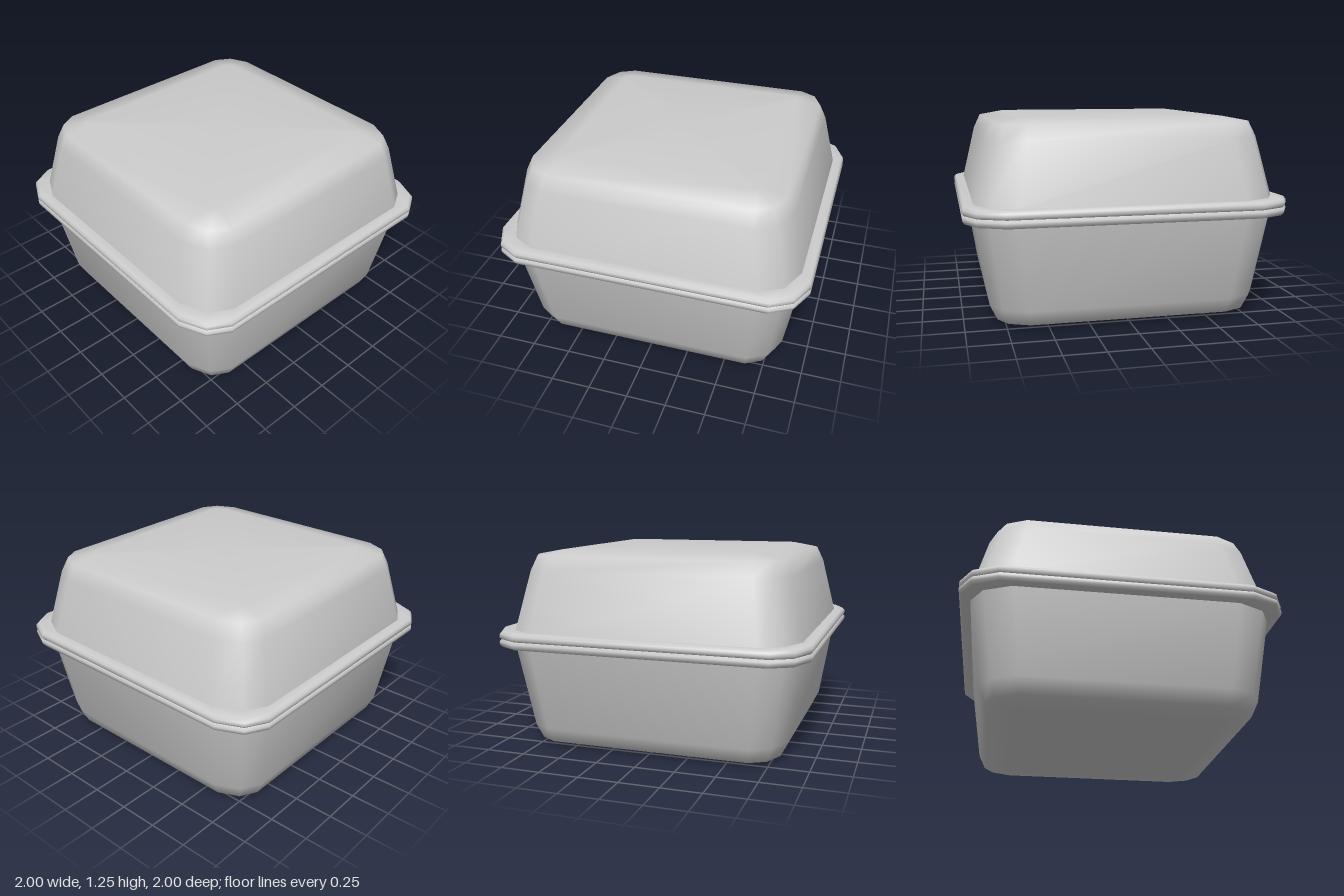
import * as THREE from 'three';
import { toCreasedNormals } from 'three/addons/utils/BufferGeometryUtils.js';

// Square outline with two-facet corners: half width h, corner inset r
function outline(h, y, r) {
  const corner = [[h, h - r], [h - 0.36 * r, h - 0.36 * r], [h - 1.15 * r, h]];
  const points = [];
  for (const [sx, sz] of [[1, 1], [-1, 1], [-1, -1], [1, -1]]) {
    const quarter = corner.map(([x, z]) => [x * sx, y, z * sz]);
    points.push(...(sx * sz > 0 ? quarter : quarter.reverse()));
  }
  return points;
}

// Closed skin over outlines stacked from bottom to top
function loft(profile) {
  const rings = profile.map(([h, y, r]) => outline(h, y, r));
  const n = rings[0].length;
  const last = rings.length - 1;
  const low = [0, profile[0][1], 0];
  const high = [0, profile[last][1], 0];
  const pos = [];
  const tri = (a, b, c) => pos.push(...a, ...b, ...c);
  for (let i = 0; i < n; i++) {
    const j = (i + 1) % n;
    for (let k = 0; k < last; k++) {
      const a = rings[k], b = rings[k + 1];
      tri(a[i], b[i], a[j]);
      tri(a[j], b[i], b[j]);
    }
    tri(low, rings[0][i], rings[0][j]);
    tri(high, rings[last][j], rings[last][i]);
  }
  const geometry = new THREE.BufferGeometry();
  geometry.setAttribute('position', new THREE.Float32BufferAttribute(pos, 3));
  return toCreasedNormals(geometry, 1.15);
}

export function createModel() {
  const group = new THREE.Group();
  group.name = 'clamshellBox';
  const material = new THREE.MeshStandardMaterial({ color: 0xcccccc });
  const add = (name, profile) => {
    const mesh = new THREE.Mesh(loft(profile), material);
    mesh.name = name;
    group.add(mesh);
  };

  // Tray: rounded floor, flared walls, lower half of the rim
  add('tray', [
    [0.64, 0, 0.04], [0.8, 0.03, 0.16], [0.845, 0.125, 0.19], [0.93, 0.655, 0.21],
    [0.985, 0.655, 0.2], [0.997, 0.67, 0.2], [1, 0.69, 0.2], [0.99, 0.705, 0.2],
  ]);

  // Lid: upper half of the rim, tapered walls, rounded top
  add('lid', [
    [0.99, 0.705, 0.2], [1, 0.72, 0.2], [0.997, 0.74, 0.2], [0.985, 0.755, 0.2],
    [0.93, 0.755, 0.21], [0.845, 1.125, 0.19], [0.8, 1.22, 0.16], [0.64, 1.25, 0.04],
  ]);

  return group;
}
